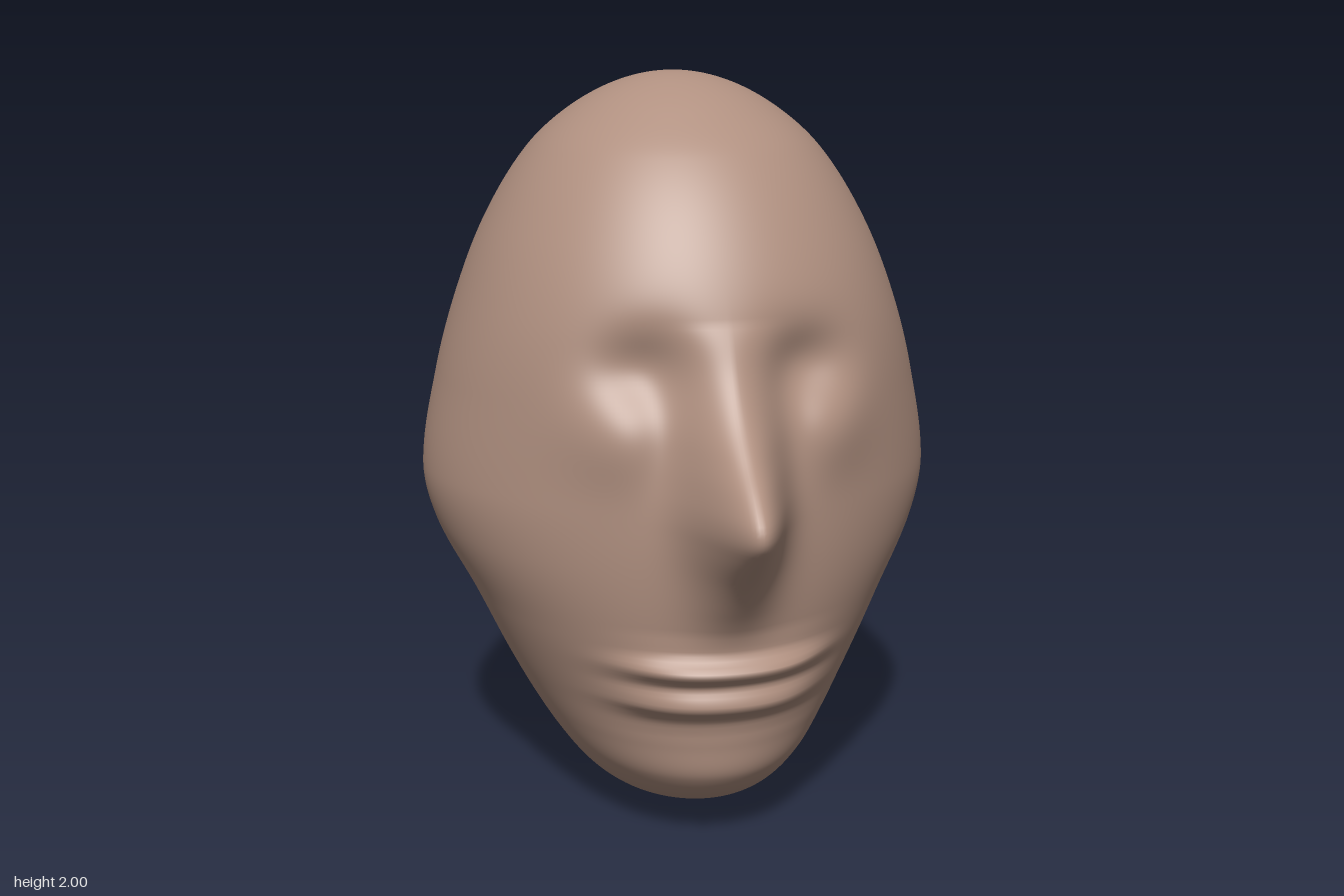
import * as THREE from 'three';

// Smooth curve through [y, value] keys, eased so both poles close roundly
const angle = (y) => Math.acos(THREE.MathUtils.clamp(1 - y, -1, 1));
function profile(keys, polar = true) {
  const k = keys.map(([y, v]) => [polar ? angle(y) : y, v]);
  const n = k.length - 1;
  const slope = (i) => {
    const a = k[Math.max(i - 1, 0)], b = k[Math.min(i + 1, n)];
    return (b[1] - a[1]) / (b[0] - a[0]);
  };
  return (y) => {
    const t = polar ? angle(y) : y;
    if (t <= k[0][0]) return k[0][1];
    if (t >= k[n][0]) return k[n][1];
    let i = 0;
    while (t > k[i + 1][0]) i++;
    const h = k[i + 1][0] - k[i][0], s = (t - k[i][0]) / h, s2 = s * s, s3 = s2 * s;
    return (2 * s3 - 3 * s2 + 1) * k[i][1] + (s3 - 2 * s2 + s) * h * slope(i)
      + (3 * s2 - 2 * s3) * k[i + 1][1] + (s3 - s2) * h * slope(i + 1);
  };
}

// Skull: half width, front and back of each horizontal section
const halfWidth = profile([[0, 0], [0.03, 0.175], [0.1, 0.28], [0.2, 0.36], [0.4, 0.475],
  [0.6, 0.57], [0.8, 0.67], [0.95, 0.70], [1.2, 0.657], [1.4, 0.6], [1.6, 0.52],
  [1.8, 0.395], [1.9, 0.285], [2, 0]]);
const front = profile([[0, -0.11], [0.03, 0.14], [0.1, 0.34], [0.2, 0.45], [0.3, 0.475],
  [0.4, 0.49], [0.6, 0.54], [0.8, 0.56], [1, 0.56], [1.2, 0.55], [1.4, 0.52], [1.6, 0.435],
  [1.8, 0.29], [1.9, 0.16], [2, -0.13]]);
const back = profile([[0, -0.11], [0.03, -0.33], [0.1, -0.465], [0.2, -0.585], [0.4, -0.72],
  [0.6, -0.80], [0.8, -0.838], [1, -0.85], [1.2, -0.828], [1.4, -0.78], [1.6, -0.70],
  [1.8, -0.57], [1.9, -0.45], [2, -0.13]]);

// Forward reach of the nose ridge and of the lips
const nose = profile([[0.56, 0], [0.62, 0.015], [0.7, 0.055], [0.8, 0.13], [0.9, 0.24], [0.94, 0.28],
  [0.97, 0.29], [1.0, 0.28], [1.05, 0.235], [1.12, 0.16], [1.2, 0.09], [1.3, 0.035], [1.42, 0]], false);
const lips = profile([[0.34, 0], [0.38, 0.008], [0.41, 0.035], [0.43, 0.06], [0.46, 0.05], [0.485, 0.03],
  [0.5, 0.032], [0.52, 0.052], [0.54, 0.066], [0.56, 0.04], [0.58, 0.014], [0.6, 0.008], [0.64, 0]], false);

const bump = (x, y, cx, cy, sx, sy) =>
  Math.exp(-(((x - cx) / sx) ** 2 + ((y - cy) / sy) ** 2));

// Offset of the face along z, mirrored left to right
function faceRelief(x, y) {
  const ax = Math.abs(x);
  return nose(y) * Math.exp(-0.5 * (ax / 0.08) ** 2)
    + lips(y) * Math.exp(-((ax / 0.26) ** 4))
    - 0.06 * bump(ax, y, 0.21, 1.3, 0.12, 0.1)     // socket under the brow
    - 0.025 * bump(ax, y, 0.15, 1.12, 0.07, 0.2)   // hollow beside the nose
    + 0.022 * bump(ax, y, 0.29, 1.14, 0.11, 0.12); // closed eye
}

function headGeometry(rows, cols) {
  const pos = [], index = [];
  for (let r = 0; r <= rows; r++) {
    const y = 1 - Math.cos(Math.PI * r / rows);
    const w = halfWidth(y), zf = front(y), zb = back(y);
    const zc = THREE.MathUtils.lerp(-0.11, -0.13, y / 2);
    for (let c = 0; c < cols; c++) {
      // Columns crowd towards the face
      const u = c / cols * Math.PI * 2, a = u - 0.6 * Math.sin(u);
      const s = Math.sin(a), k = Math.cos(a);
      // Slightly flattened diagonals leave a swell at the temples
      const flat = 1 - 0.035 * Math.sin(2 * a) ** 2 * Math.exp(-(((y - 0.95) / 0.3) ** 2));
      const x = w * s * flat;
      let z = zc + k * flat * (k > 0 ? zf - zc : zc - zb);
      if (k > 0) z += faceRelief(x, y) * THREE.MathUtils.smoothstep(k, 0, 0.5);
      pos.push(x, y, z);
    }
  }
  for (let r = 0; r < rows; r++) {
    for (let c = 0; c < cols; c++) {
      const d = (c + 1) % cols;
      const p = r * cols + c, q = r * cols + d, m = p + cols, n = q + cols;
      if (r > 0) index.push(p, q, n);
      if (r < rows - 1) index.push(p, n, m);
    }
  }
  const g = new THREE.BufferGeometry();
  g.setAttribute('position', new THREE.Float32BufferAttribute(pos, 3));
  g.setIndex(index);
  g.computeVertexNormals();
  // Every pole vertex shares one vertical normal
  const nor = g.attributes.normal;
  for (let c = 0; c < cols; c++) {
    nor.setXYZ(c, 0, -1, 0);
    nor.setXYZ(rows * cols + c, 0, 1, 0);
  }
  return g;
}

export function createModel() {
  const group = new THREE.Group();
  group.name = 'mannequinHead';
  const head = new THREE.Mesh(headGeometry(240, 200),
    new THREE.MeshStandardMaterial({ color: 0xb09080 }));
  head.name = 'head';
  group.add(head);
  return group;
}
